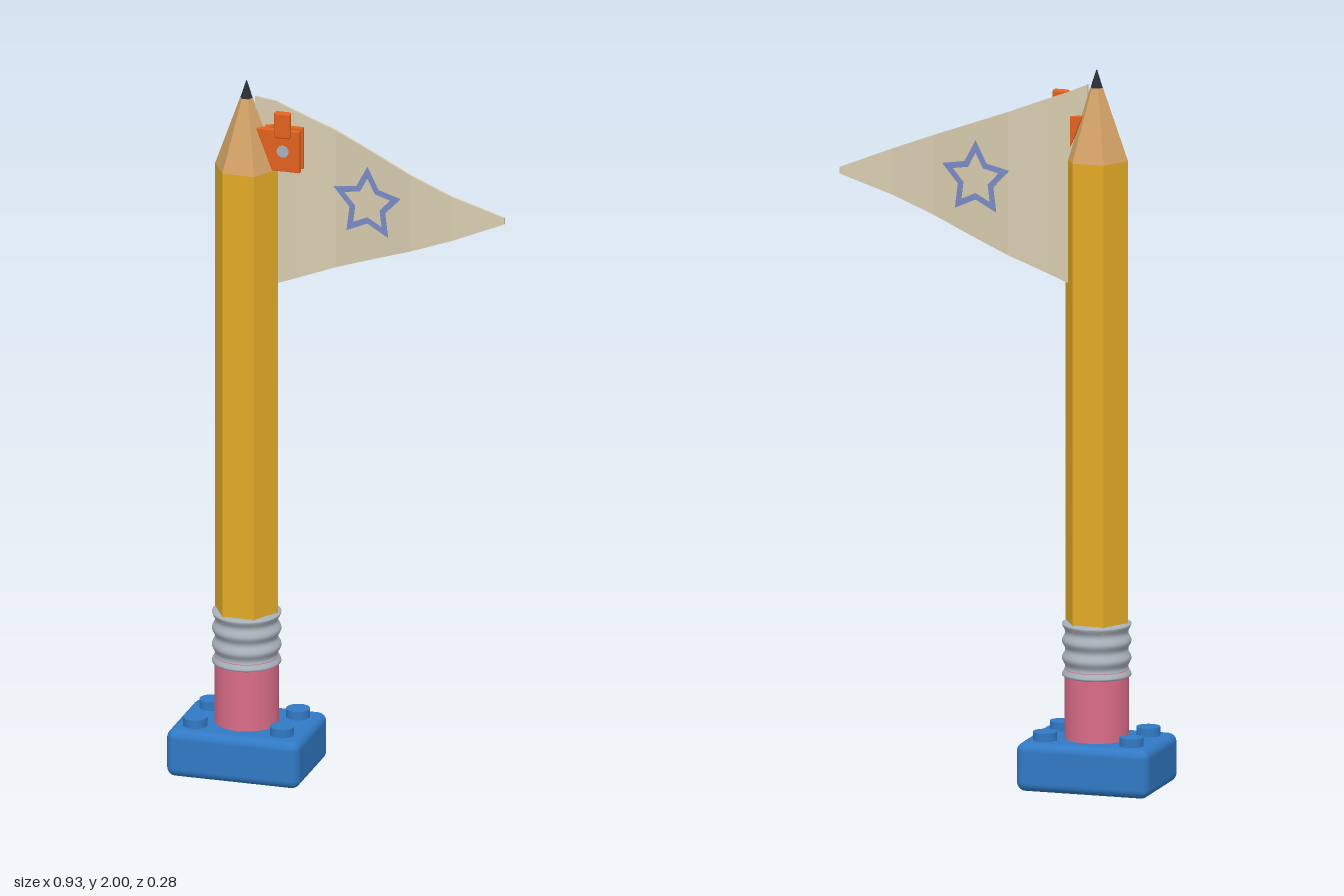
import * as THREE from 'three';
import { RoundedBoxGeometry } from 'three/addons/geometries/RoundedBoxGeometry.js';

const AXIS = -0.275; // x of the pencil's centre line

// Folds of the pennant as [x, z]
const FOLDS = [[-0.25, 0], [-0.2, -0.03], [-0.14, -0.027], [-0.03, -0.03],
  [0.09, -0.007], [0.2, 0.019], [0.32, 0.026], [0.462, 0]];

function waveZ(x) {
  let i = 0;
  while (i < FOLDS.length - 2 && x > FOLDS[i + 1][0]) i++;
  const [x0, z0] = FOLDS[i], [x1, z1] = FOLDS[i + 1];
  return z0 + (z1 - z0) * (x - x0) / (x1 - x0);
}

function flat(geometry) {
  const g = geometry.toNonIndexed();
  g.computeVertexNormals();
  return g;
}

// Moves every vertex by a rule that edits the vector in place
function bend(geometry, rule) {
  const p = geometry.attributes.position, v = new THREE.Vector3();
  for (let i = 0; i < p.count; i++) {
    rule(v.fromBufferAttribute(p, i));
    p.setXYZ(i, v.x, v.y, v.z);
  }
  return flat(geometry.index ? geometry : geometry.clone().setIndex([...Array(p.count).keys()]));
}

function starPoints(radius) {
  return Array.from({ length: 10 }, (_, i) => {
    const a = Math.PI / 2 + i * Math.PI / 5, r = i % 2 ? radius * 0.53 : radius;
    return new THREE.Vector2(0.068 + r * Math.cos(a), 1.675 + r * Math.sin(a));
  });
}

export function createModel() {
  const model = new THREE.Group();
  const paint = (name, color) => {
    const m = new THREE.MeshStandardMaterial({ color });
    m.name = name;
    return m;
  };
  const blue = paint('brick blue', 0x3079c4);
  const pink = paint('eraser pink', 0xd96c88);
  const metal = paint('ferrule metal', 0xa9b1bc);
  const yellow = paint('pencil yellow', 0xe2ab27);
  const wood = paint('bare wood', 0xd3a266);
  const graphite = paint('graphite', 0x2a2d34);
  const cloth = paint('pennant cloth', 0xd8ccb0);
  const starBlue = paint('star blue', 0x7c8cc8);
  const orange = paint('clip orange', 0xe2621f);

  const add = (name, geometry, material, x = 0, y = 0, z = 0) => {
    const mesh = new THREE.Mesh(geometry, material);
    mesh.name = name;
    mesh.position.set(x, y, z);
    model.add(mesh);
    return mesh;
  };

  // Brick base with four studs
  add('base', new RoundedBoxGeometry(0.38, 0.136, 0.282, 4, 0.025), blue, AXIS, 0.068, 0);
  for (const sx of [-1, 1]) for (const sz of [-1, 1]) {
    add('stud', new THREE.CylinderGeometry(0.033, 0.033, 0.04, 32), blue,
      AXIS + sx * 0.124, 0.14, sz * 0.074);
  }

  // Eraser and ribbed ferrule
  add('eraser', new THREE.CylinderGeometry(0.088, 0.088, 0.22, 48), pink, AXIS, 0.22, 0);
  const ribs = [new THREE.Vector2(0, 0.308), new THREE.Vector2(0.086, 0.308)];
  for (let i = 0; i <= 36; i++) {
    const t = i / 36;
    ribs.push(new THREE.Vector2(0.0905 + 0.0045 * Math.cos(t * Math.PI * 6), 0.312 + t * 0.144));
  }
  ribs.push(new THREE.Vector2(0.086, 0.461), new THREE.Vector2(0, 0.461));
  add('ferrule', new THREE.LatheGeometry(ribs, 48), metal, AXIS);

  // Six-sided pencil, edges pointing to the sides
  const hex = (name, rTop, rBottom, y0, y1, material) => {
    const g = new THREE.CylinderGeometry(rTop, rBottom, y1 - y0, 6).rotateY(Math.PI / 6);
    add(name, flat(g), material, AXIS, (y0 + y1) / 2, 0);
  };
  hex('pencilBody', 0.09, 0.09, 0.44, 1.75, yellow);
  hex('sharpenedWood', 0.018, 0.09, 1.75, 1.95, wood);
  hex('pencilLead', 0.001, 0.019, 1.945, 2, graphite);

  // Pennant: a thin sheet, tapered to the tip and folded
  const last = FOLDS.length - 1;
  const sheet = new THREE.BoxGeometry(1, 1, 1, last, 1, 1);
  add('pennant', bend(sheet, v => {
    const x = FOLDS[Math.round((v.x + 0.5) * last)][0];
    const t = (x + 0.25) / 0.712;
    v.set(x,
      v.y > 0 ? 1.957 + (1.68 - 1.957) * t : 1.388 + (1.662 - 1.388) * t,
      waveZ(x) + v.z * 0.007);
  }), cloth);

  // Star outline showing on both faces of the pennant
  const star = new THREE.Shape(starPoints(0.108));
  star.holes.push(new THREE.Path(starPoints(0.074)));
  const starPlate = new THREE.ExtrudeGeometry(star, { depth: 0.0098, bevelEnabled: false });
  add('star', bend(starPlate, v => { v.z += waveZ(v.x) - 0.0049; }), starBlue);

  // Clip: two jaws, slanted bridge, pin and thumb lever
  const jaw = new THREE.Shape([[-0.24, 1.87], [-0.195, 1.755], [-0.12, 1.755], [-0.12, 1.87]]
    .map(p => new THREE.Vector2(...p)));
  for (const z of [-0.027, 0.006]) {
    add('clipJaw', new THREE.ExtrudeGeometry(jaw, {
      depth: 0.014, bevelThickness: 0.002, bevelSize: 0.002, bevelSegments: 2,
    }), orange, 0, 0, z);
  }
  const bridge = add('clipBridge', new THREE.BoxGeometry(0.014, 0.07, 0.045), orange, -0.222, 1.833, -0.002);
  bridge.rotation.y = -0.6;
  add('clipPin', new THREE.CylinderGeometry(0.017, 0.017, 0.054, 24).rotateX(Math.PI / 2),
    metal, -0.165, 1.812, -0.003);
  add('clipLever', new RoundedBoxGeometry(0.046, 0.075, 0.02, 3, 0.006), orange, -0.162, 1.893, 0.033);

  return model;
}
